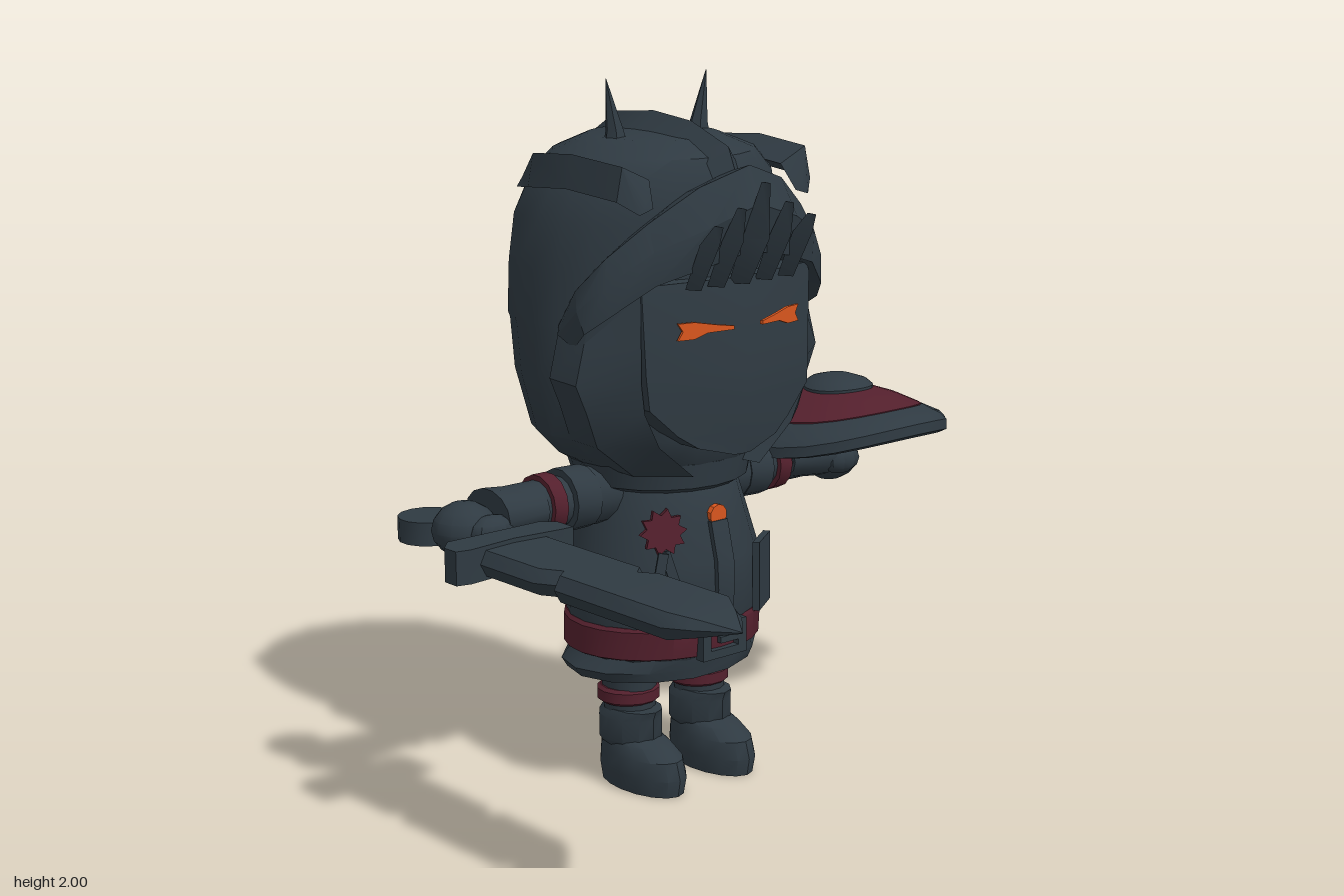
import * as THREE from 'three';
import { toCreasedNormals } from 'three/addons/utils/BufferGeometryUtils.js';

const mat = (name, color) => new THREE.MeshStandardMaterial({ name, color });

// Closed surface through equal-length sections of [x, y, z], capped at both ends
function skin(sections) {
  const n = sections[0].length, tris = [];
  const tri = (a, b, c) => tris.push(a, b, c);
  for (let i = 0; i < sections.length - 1; i++) {
    const s = sections[i], u = sections[i + 1];
    for (let j = 0; j < n; j++) {
      const k = (j + 1) % n;
      tri(s[j], u[j], s[k]);
      tri(s[k], u[j], u[k]);
    }
  }
  const first = sections[0], last = sections[sections.length - 1];
  for (let j = 1; j < n - 1; j++) {
    tri(first[0], first[j], first[j + 1]);
    tri(last[0], last[j + 1], last[j]);
  }
  // Turn the surface outward if its signed volume is negative
  const v = tris.map(p => new THREE.Vector3(...p));
  let volume = 0;
  for (let i = 0; i < v.length; i += 3) volume += v[i].dot(v[i + 1].clone().cross(v[i + 2]));
  if (volume < 0) for (let i = 0; i < v.length; i += 3) [v[i + 1], v[i + 2]] = [v[i + 2], v[i + 1]];
  return new THREE.BufferGeometry().setFromPoints(v);
}

// Stacked ellipses: [y, halfWidth, zFront, zBack]
const stack = (rows, cx = 0, seg = 20) => skin(rows.map(([y, rx, zf, zb]) =>
  Array.from({ length: seg }, (_, j) => {
    const t = j / seg * Math.PI * 2;
    return [cx + rx * Math.cos(t), y, (zf + zb) / 2 + (zf - zb) / 2 * Math.sin(t)];
  })));

export function createModel() {
  const slate = mat('slate', 0x2f3a42), red = mat('darkRed', 0x54202d), orange = mat('glowOrange', 0xd9561e);
  const root = new THREE.Group(), figure = new THREE.Group();
  root.name = 'knight';
  figure.name = 'figure';
  figure.position.x = -0.077;
  root.add(figure);

  function add(name, geo, material, parent = figure, pos = [0, 0, 0], rot = [0, 0, 0]) {
    const m = new THREE.Mesh(toCreasedNormals(geo, 0.6), material);
    m.name = name;
    m.position.set(...pos);
    m.rotation.set(...rot);
    parent.add(m);
    return m;
  }
  const box = (x, y, z) => new THREE.BoxGeometry(x, y, z);

  // Helmet
  add('helmet', stack([
    [0.87, 0.1, -0.17, -0.5], [0.91, 0.2, -0.12, -0.57], [0.97, 0.3, -0.085, -0.64], [1.04, 0.365, -0.06, -0.68],
    [1.2, 0.395, -0.05, -0.73], [1.34, 0.4, -0.05, -0.745], [1.355, 0.4, -0.05, -0.758], [1.5, 0.398, -0.05, -0.748],
    [1.63, 0.382, -0.05, -0.735], [1.74, 0.34, -0.05, -0.69], [1.8, 0.28, -0.08, -0.64], [1.84, 0.18, -0.17, -0.55],
    [1.85, 0.05, -0.3, -0.42]], 0, 24), slate);

  // Central crest: triangular ridge over the top, [z, y] at its apex
  const crest = [[-0.02, 1.76], [-0.05, 1.83], [-0.2, 1.885], [-0.36, 1.9], [-0.52, 1.885], [-0.66, 1.8],
    [-0.745, 1.64], [-0.752, 1.5]];
  add('crest', skin(crest.map(([z, y], i) => {
    const w = i === crest.length - 1 ? 0.01 : 0.07;
    const bz = -0.36 + (z + 0.36) * 0.87, by = 1.4 + (y - 1.4) * 0.86;
    return [[0, y, z], [w, by, bz], [-w, by, bz]];
  })), slate);

  // Raised visor: half sections [x, topZ, topY, lipZ, lipY, lowZ, lowY]
  const half = [[0, 0.035, 1.79, 0.075, 1.69, 0.04, 1.56], [0.15, 0, 1.74, 0.055, 1.64, 0.03, 1.53],
    [0.28, -0.06, 1.65, -0.02, 1.58, -0.02, 1.49], [0.38, -0.12, 1.56, -0.1, 1.49, -0.09, 1.41],
    [0.42, -0.2, 1.47, -0.17, 1.42, -0.15, 1.36], [0.4, -0.3, 1.36, -0.28, 1.34, -0.22, 1.31]];
  const visorRow = s => ([x, tz, ty, lz, ly, bz, by]) =>
    [[s * x * 0.97, ty, tz], [s * x * 1.02, ly, lz], [s * x, by, bz],
      [s * x * 0.8, by + 0.02, bz - 0.1], [s * x * 0.8, ty - 0.03, tz - 0.1]];
  add('visor', skin([...half.slice(1).reverse().map(visorRow(-1)), ...half.map(visorRow(1))]), slate);

  // Upright teeth on the visor
  [[0, 1.75, 0.045], [0.085, 1.69, 0.032], [0.165, 1.65, 0.028]].forEach(([x, tip, w]) => {
    for (const s of x ? [-1, 1] : [1]) {
      const at = (y, z, k) => [[s * x - k, y, z - 0.03], [s * x, y, z + k * 0.6], [s * x + k, y, z - 0.03]];
      add('visorTooth', skin([at(1.47, 0.015, w * 0.7), at(1.6, 0.085, w), at(tip, 0.115, 0.003)]), slate);
    }
  });

  // Face mask with a central ridge: [y, halfWidth, centreZ, edgeZ]
  const face = [[1.0, 0.03, 0.01, 0.005], [1.03, 0.14, 0.016, -0.015], [1.07, 0.2, 0.022, -0.03],
    [1.15, 0.285, 0.03, -0.045], [1.24, 0.292, 0.035, -0.05], [1.46, 0.3, 0.005, -0.055], [1.485, 0.29, 0, -0.055]];
  add('faceMask', skin(face.map(([y, w, c, e]) =>
    [[-w, y, e], [0, y, c], [w, y, e], [w, y, -0.2], [-w, y, -0.2]])), slate);

  for (const s of [-1, 1]) {
    // Glowing slit eyes
    const pts = [[0.05, -0.004], [0.05, 0.006], [0.1, 0.013], [0.17, 0.026], [0.22, 0.026],
      [0.205, 0.004], [0.22, -0.02], [0.17, -0.02], [0.13, -0.006]];
    const eye = new THREE.Shape(pts.map(([x, y]) => new THREE.Vector2(s * x, y)));
    add('eye', new THREE.ExtrudeGeometry(eye, { depth: 0.009, bevelEnabled: false }), orange, figure,
      [0, 1.357, 0.033], [0, s * 0.225, 0]);

    // Cheek guards: [y, frontX, outerX]
    add('cheekGuard', skin([[0.94, 0.12, 0.24], [1.04, 0.24, 0.365], [1.14, 0.29, 0.4], [1.22, 0.3, 0.435],
      [1.33, 0.3, 0.405], [1.46, 0.3, 0.36]].map(([y, f, o]) =>
      [[s * f, y, -0.06], [s * o, y, -0.17], [s * o * 0.97, y, -0.3], [s * f * 0.7, y, -0.25]])), slate);

    // Side fins and top spikes
    add('sideFin', skin([[-0.06, 0.28, 1.7], [-0.1, 0.325, 1.8], [-0.3, 0.335, 1.815], [-0.48, 0.325, 1.8],
      [-0.59, 0.28, 1.72]].map(([z, x, y], i) => {
      const k = i === 0 || i === 4 ? 0.02 : 0.07;
      return [[s * x, y, z], [s * (x + 0.02), y - k * 1.3, z], [s * (x - k * 1.3), y - k * 0.6, z]];
    })), slate);
    add('topSpike', skin([[1.79, 0.145, 0.042], [1.86, 0.15, 0.026], [2, 0.178, 0.001]].map(([y, x, r]) =>
      [0, 1, 2, 3, 4, 5].map(j => [s * x + r * Math.cos(j * Math.PI / 3), y, -0.345 + r * Math.sin(j * Math.PI / 3)]))), slate);
  }

  // Tunic, collar, hem and belt
  add('tunic', stack([[0.3, 0.14, -0.24, -0.48], [0.33, 0.22, -0.17, -0.54], [0.4, 0.275, -0.11, -0.59],
    [0.5, 0.285, -0.085, -0.595], [0.6, 0.287, -0.072, -0.6], [0.68, 0.27, -0.075, -0.59], [0.78, 0.24, -0.1, -0.57],
    [0.88, 0.205, -0.12, -0.54], [0.93, 0.17, -0.16, -0.5]]), slate);
  add('collar', stack([[0.87, 0.2, -0.13, -0.54], [0.89, 0.25, -0.1, -0.59], [0.96, 0.27, -0.09, -0.61],
    [0.98, 0.24, -0.12, -0.58]]), slate);
  add('hem', stack([[0.33, 0.24, -0.16, -0.56], [0.335, 0.285, -0.125, -0.59], [0.365, 0.308, -0.12, -0.59],
    [0.41, 0.27, -0.11, -0.58]], 0, 14), slate);
  add('belt', stack([[0.405, 0.285, -0.1, -0.59], [0.41, 0.294, -0.088, -0.602], [0.49, 0.294, -0.08, -0.602],
    [0.5, 0.285, -0.085, -0.595]], 0, 24), red);
  const frame = new THREE.Shape([[-0.08, -0.05], [0.08, -0.05], [0.08, 0.05], [-0.08, 0.05]].map(p => new THREE.Vector2(...p)));
  frame.holes.push(new THREE.Path([[-0.05, -0.025], [-0.05, 0.025], [0.05, 0.025], [0.05, -0.025]].map(p => new THREE.Vector2(...p))));
  add('buckle', new THREE.ExtrudeGeometry(frame, { depth: 0.03, bevelEnabled: false }), slate, figure, [0, 0.45, -0.1]);
  add('bucklePin', box(0.07, 0.018, 0.02), slate, figure, [0.02, 0.45, -0.08]);

  // Coat front, button and pockets
  add('placket', skin([[0.5, -0.075], [0.6, -0.062], [0.68, -0.065], [0.79, -0.092]].map(([y, z]) =>
    [[-0.03, y, z], [0.03, y, z], [0.03, y, z - 0.04], [-0.03, y, z - 0.04]])), slate);
  add('button', new THREE.CylinderGeometry(0.03, 0.03, 0.03, 10), orange, figure, [0, 0.805, -0.11], [Math.PI / 2, 0, 0]);
  add('frontPocket', box(0.13, 0.2, 0.02), slate, figure, [0.19, 0.6, -0.13], [0, 0.6, 0]);
  add('backPatch', box(0.2, 0.2, 0.02), slate, figure, [-0.02, 0.62, -0.592]);

  // Rosette with two ribbon tails
  const star = new THREE.Shape(Array.from({ length: 20 }, (_, i) => {
    const r = i % 2 ? 0.047 : 0.066, a = i * Math.PI / 10;
    return new THREE.Vector2(r * Math.cos(a), r * Math.sin(a));
  }));
  add('rosette', new THREE.ExtrudeGeometry(star, { depth: 0.03, bevelEnabled: false }), red, figure,
    [-0.16, 0.775, -0.15], [-0.2, -0.5, 0]);
  for (const s of [-1, 1]) add('ribbonTail', box(0.028, 0.1, 0.012), slate, figure,
    [-0.175 + s * 0.018, 0.675, -0.118], [-0.1, -0.5, s * 0.25]);

  for (const s of [-1, 1]) {
    // Legs and boots
    const x = s * 0.13;
    add('thigh', stack([[0.2, 0.07, -0.26, -0.41], [0.36, 0.08, -0.25, -0.43]], x, 14), slate);
    add('garter', stack([[0.24, 0.08, -0.26, -0.42], [0.248, 0.09, -0.25, -0.43], [0.278, 0.09, -0.25, -0.43],
      [0.287, 0.08, -0.26, -0.42]], x, 14), red);
    add('boot', stack([[0, 0.08, -0.125, -0.435], [0.05, 0.088, -0.115, -0.442], [0.1, 0.084, -0.13, -0.438],
      [0.13, 0.074, -0.18, -0.43], [0.145, 0.07, -0.24, -0.42], [0.18, 0.07, -0.25, -0.42]], x, 16), slate);
    add('bootCuff', stack([[0.12, 0.075, -0.24, -0.425], [0.135, 0.084, -0.23, -0.435], [0.2, 0.084, -0.23, -0.435],
      [0.225, 0.07, -0.22, -0.42]], x, 12), slate);

    // Arms, running outward along x: [start, end, startRadius, endRadius]
    const arm = new THREE.Group();
    arm.name = s < 0 ? 'rightArm' : 'leftArm';
    arm.position.set(0, s < 0 ? 0.86 : 0.845, -0.35);
    figure.add(arm);
    const limb = (name, a, b, ra, rb, m) => add(name, new THREE.CylinderGeometry(ra, rb, b - a, 14), m, arm,
      [s * (a + b) / 2, 0, 0], [0, 0, s * Math.PI / 2]);
    limb('sleeve', 0.12, 0.29, 0.085, 0.085, slate);
    limb('sleeveCuff', 0.275, 0.36, 0.088, 0.09, slate);
    limb('forearm', 0.35, 0.6, 0.07, 0.07, slate);
    limb('armBand', 0.39, 0.435, 0.085, 0.085, red);
    const gauntlet = limb('gauntlet', 0.45, 0.6, 0.08, 0.1, slate);
    gauntlet.scale.x = 0.75;
    const hand = add('hand', new THREE.SphereGeometry(0.09, 12, 8), slate, arm, [s * 0.67, -0.025, -0.01]);
    hand.scale.y = 0.85;
    const thumb = add('thumb', new THREE.SphereGeometry(0.045, 10, 6), slate, arm, [s * 0.64, -0.02, 0.07]);
    thumb.scale.x = 1.5;
  }

  // Sword: blade sections [z, leftX, rightX, halfThickness], with nicks in the edges
  const sword = new THREE.Group();
  sword.name = 'sword';
  sword.position.set(-0.752, 0.81, 0);
  root.add(sword);
  const blade = [[-0.15, -0.118, 0.118, 0.035], [0.1, -0.118, 0.118, 0.035], [0.16, -0.085, 0.118, 0.035],
    [0.185, -0.118, 0.118, 0.035], [0.26, -0.118, 0.118, 0.035], [0.29, -0.118, 0.086, 0.035],
    [0.335, -0.118, 0.118, 0.035], [0.6, -0.118, 0.118, 0.035], [0.67, -0.075, 0.08, 0.022], [0.76, -0.002, 0.002, 0.002]];
  add('blade', skin(blade.map(([z, l, r, t]) => {
    const b = Math.min(0.02, (r - l) / 4);
    return [[l, 0, z], [l + b, t, z], [r - b, t, z], [r, 0, z], [r - b, -t, z], [l + b, -t, z]];
  })), slate, sword);
  add('guard', skin([[-0.19, -0.18, -0.13], [-0.15, -0.222, -0.12], [0, -0.222, -0.135], [0.15, -0.222, -0.12],
    [0.185, -0.19, -0.12]].map(([x, a, b]) =>
    [[x, -0.045, a], [x, 0.047, a], [x, 0.047, b], [x, -0.045, b]])), slate, sword);
  add('grip', new THREE.CylinderGeometry(0.03, 0.03, 0.3, 10), red, sword, [0, 0, -0.34], [Math.PI / 2, 0, 0]);
  add('pommel', new THREE.CylinderGeometry(0.085, 0.085, 0.065, 14), slate, sword, [0, 0, -0.518]);

  // Shield: rings [radius, y] bent about the z axis, with a chip in the rim
  const shield = new THREE.Group();
  shield.name = 'shield';
  shield.position.set(0.605, 0, -0.335);
  root.add(shield);
  const disc = rings => skin(rings.map(([r, y]) => Array.from({ length: 24 }, (_, j) => {
    const t = j / 24 * Math.PI * 2, q = r > 0.28 && j === 3 ? 0.275 : r;
    const x = q * Math.cos(t);
    return [x, y - 0.6 * x * x, q * Math.sin(t)];
  })));
  add('shieldRim', disc([[0.01, 0.965], [0.2, 0.95], [0.31, 0.925], [0.335, 0.94], [0.333, 0.97], [0.315, 0.985],
    [0.25, 0.998], [0.24, 0.985], [0.01, 1.0]]), slate, shield);
  add('shieldField', disc([[0.02, 0.97], [0.245, 0.97], [0.247, 1.0], [0.18, 1.018], [0.09, 1.035], [0.01, 1.036]]), red, shield);
  add('shieldBoss', disc([[0.01, 1.0], [0.105, 1.0], [0.105, 1.04], [0.085, 1.055], [0.04, 1.067], [0.01, 1.068]]), slate, shield);

  return root;
}
